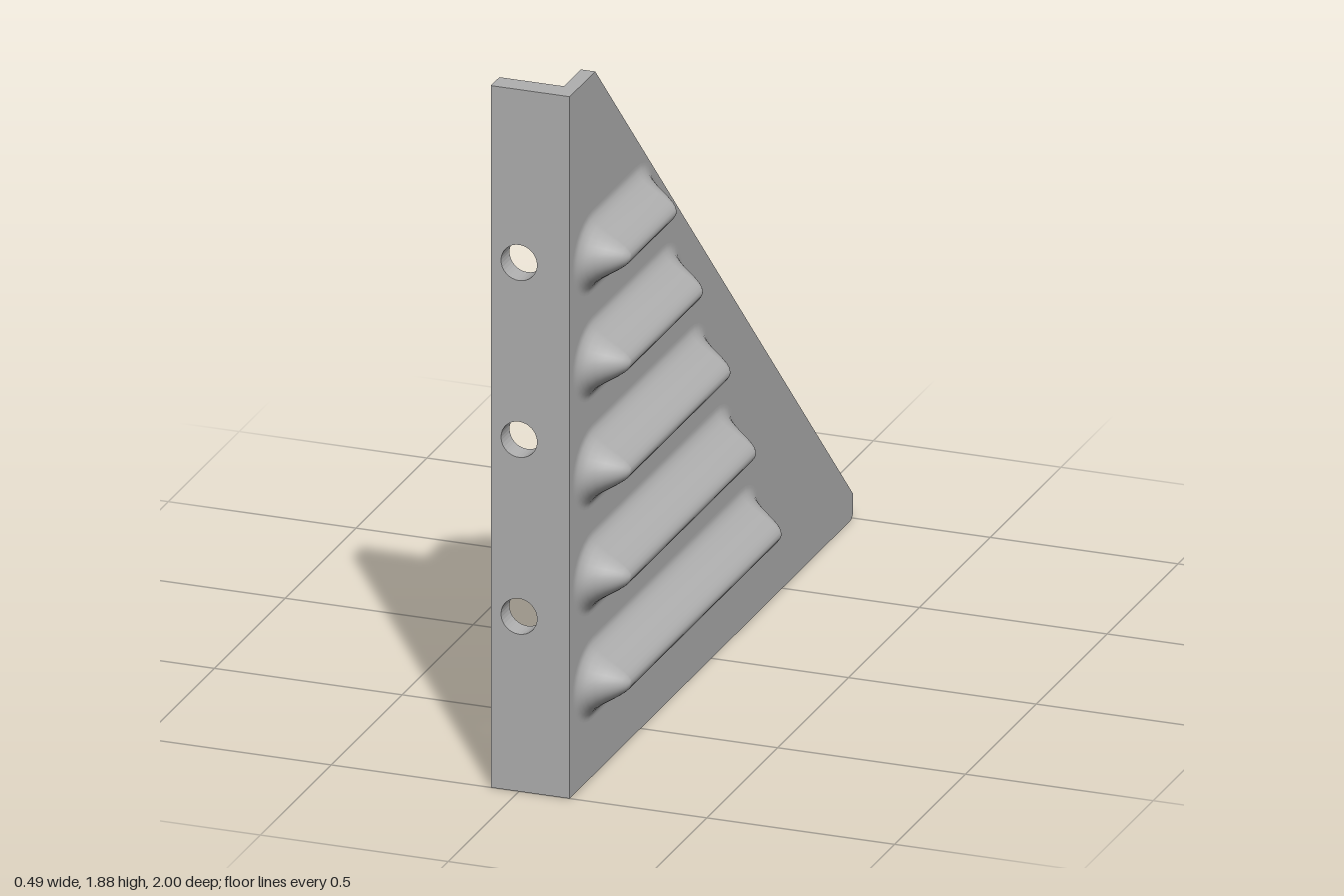
import * as THREE from 'three';
import { mergeVertices } from 'three/addons/utils/BufferGeometryUtils.js';

const steel = new THREE.MeshStandardMaterial({ color: 0xb0b0b0, side: THREE.DoubleSide });
steel.name = 'grey steel';

const OUT = 0.135, THICK = 0.038;          // outer face and thickness of the side plate
const HALF = 0.11, END = 0.14, RISE = 0.105; // louver half height, end run and depth
const FRONT = 0.84, ARC = 14;
const RINGS = [0, 0.08, 0.16, 0.23, 0.34, 0.45, 0.56, 0.68, 0.76, 0.84, 0.9, 0.95, 1];
const SLOT_A = 3, SLOT_B = 7;              // rings between which the slot is open

// [centre height, rear end of the slot]
const LOUVERS = [[0.265, -0.21], [0.55, -0.03], [0.835, 0.15], [1.125, 0.345], [1.41, 0.53]];

const bell = r => RISE * Math.pow(0.5 + 0.5 * Math.cos(Math.PI * Math.min(r, 1)), 1.2);

// One closed loop around a louver, r = 0 at the crest and 1 at the rim
function loop(yc, rear, r, x) {
  const points = [];
  for (const [z, start] of [[FRONT, -Math.PI / 2], [rear, Math.PI / 2]]) {
    for (let k = 0; k <= ARC; k++) {
      const a = start + Math.PI * k / ARC;
      points.push(new THREE.Vector3(x, yc + HALF * r * Math.sin(a), z + END * r * Math.cos(a)));
    }
  }
  return points;
}

function outerLoop(yc, rear, r) {
  return loop(yc, rear, r, OUT + bell(r));
}

// Inner skin, offset square to the outer one
function innerLoop(yc, rear, r) {
  const slope = r === 0 || r === 1 ? 0 : (bell(r - 0.01) - bell(r + 0.01)) / (0.02 * HALF);
  const n = Math.hypot(1, slope);
  const rIn = Math.max(0.1 * r, r - THICK * slope / n / HALF);
  return loop(yc, rear, rIn, OUT + bell(r) - THICK / n);
}

function quadGeometry(quads) {
  const pos = [];
  for (const [a, b, c, d] of quads) for (const p of [a, b, c, a, c, d]) pos.push(p.x, p.y, p.z);
  const g = new THREE.BufferGeometry();
  g.setAttribute('position', new THREE.Float32BufferAttribute(pos, 3));
  return g;
}

function skin(loops, outward) {
  const quads = [], count = loops[0].length;
  for (let i = 0; i < loops.length - 1; i++) {
    for (let j = 0; j < count; j++) {
      // the lower straight side is left open for the slot
      if (j === count - 1 && i >= SLOT_A && i < SLOT_B) continue;
      const k = (j + 1) % count;
      const q = [loops[i][j], loops[i + 1][j], loops[i + 1][k], loops[i][k]];
      quads.push(outward ? q.reverse() : q);
    }
  }
  const g = mergeVertices(quadGeometry(quads), 1e-5);
  g.computeVertexNormals();
  return g;
}

function mesh(name, geometry) {
  const m = new THREE.Mesh(geometry, steel);
  m.name = name;
  return m;
}

function makeLouver(yc, rear) {
  const group = new THREE.Group();
  group.name = 'louver';
  const outer = RINGS.map(r => outerLoop(yc, rear, r));
  const inner = RINGS.map(r => innerLoop(yc, rear, r));
  group.add(mesh('louverOuterSkin', skin(outer, true)), mesh('louverInnerSkin', skin(inner, false)));
  // cut edges of the slot
  const last = outer[0].length - 1, walls = [];
  for (const i of [SLOT_A, SLOT_B]) walls.push([outer[i][last], outer[i][0], inner[i][0], inner[i][last]]);
  for (const j of [0, last]) {
    for (let i = SLOT_A; i < SLOT_B; i++) walls.push([outer[i][j], outer[i + 1][j], inner[i + 1][j], inner[i][j]]);
  }
  const edge = quadGeometry(walls);
  edge.computeVertexNormals();
  group.add(mesh('slotEdge', edge));
  return group;
}

function addHole(shape, x, y) {
  const hole = new THREE.Path();
  hole.absarc(x, y, 0.048, 0, Math.PI * 2, true);
  shape.holes.push(hole);
}

const extrude = (shape, depth) => new THREE.ExtrudeGeometry(shape, { depth, bevelEnabled: false, curveSegments: 16 });

export function createModel() {
  const model = new THREE.Group();
  model.name = 'louveredBracket';

  // Triangular side plate, drawn with -z to the right
  const side = new THREE.Shape();
  side.moveTo(-1, 0);
  side.lineTo(0.975, 0);
  side.quadraticCurveTo(1, 0, 1, 0.025);
  side.lineTo(1, 0.065);
  side.lineTo(-0.82, 1.885);
  side.lineTo(-1, 1.885);
  side.closePath();
  for (const [yc, rear] of LOUVERS) {
    const rim = outerLoop(yc, rear, 1).map(p => new THREE.Vector2(-p.z, p.y));
    side.holes.push(new THREE.Path().setFromPoints(rim));
    model.add(makeLouver(yc, rear));
  }
  const plate = mesh('sidePlate', extrude(side, THICK).rotateY(Math.PI / 2));
  plate.position.x = OUT - THICK;
  model.add(plate);

  // Upright front flange with three screw holes
  const front = new THREE.Shape();
  front.moveTo(-0.075, 0);
  front.lineTo(0.115, 0);
  front.lineTo(0.115, 1.885);
  front.lineTo(-0.075, 1.885);
  front.closePath();
  for (const y of [0.47, 0.945, 1.42]) addHole(front, 0, y);
  const frontFlange = mesh('frontFlange', extrude(front, 0.06));
  frontFlange.position.z = 0.94;
  model.add(frontFlange);

  // Flat bottom flange with rounded outer corners, drawn with -z upward
  const base = new THREE.Shape();
  base.moveTo(0.1, -0.555);
  base.lineTo(0.1, 0.625);
  base.lineTo(-0.145, 0.625);
  base.absarc(-0.145, 0.525, 0.1, Math.PI / 2, Math.PI, false);
  base.lineTo(-0.245, -0.455);
  base.absarc(-0.145, -0.455, 0.1, Math.PI, Math.PI * 1.5, false);
  base.closePath();
  for (const z of [-0.375, -0.06, 0.255]) addHole(base, -0.06, -z);
  model.add(mesh('bottomFlange', extrude(base, 0.07).rotateX(-Math.PI / 2)));

  return model;
}
